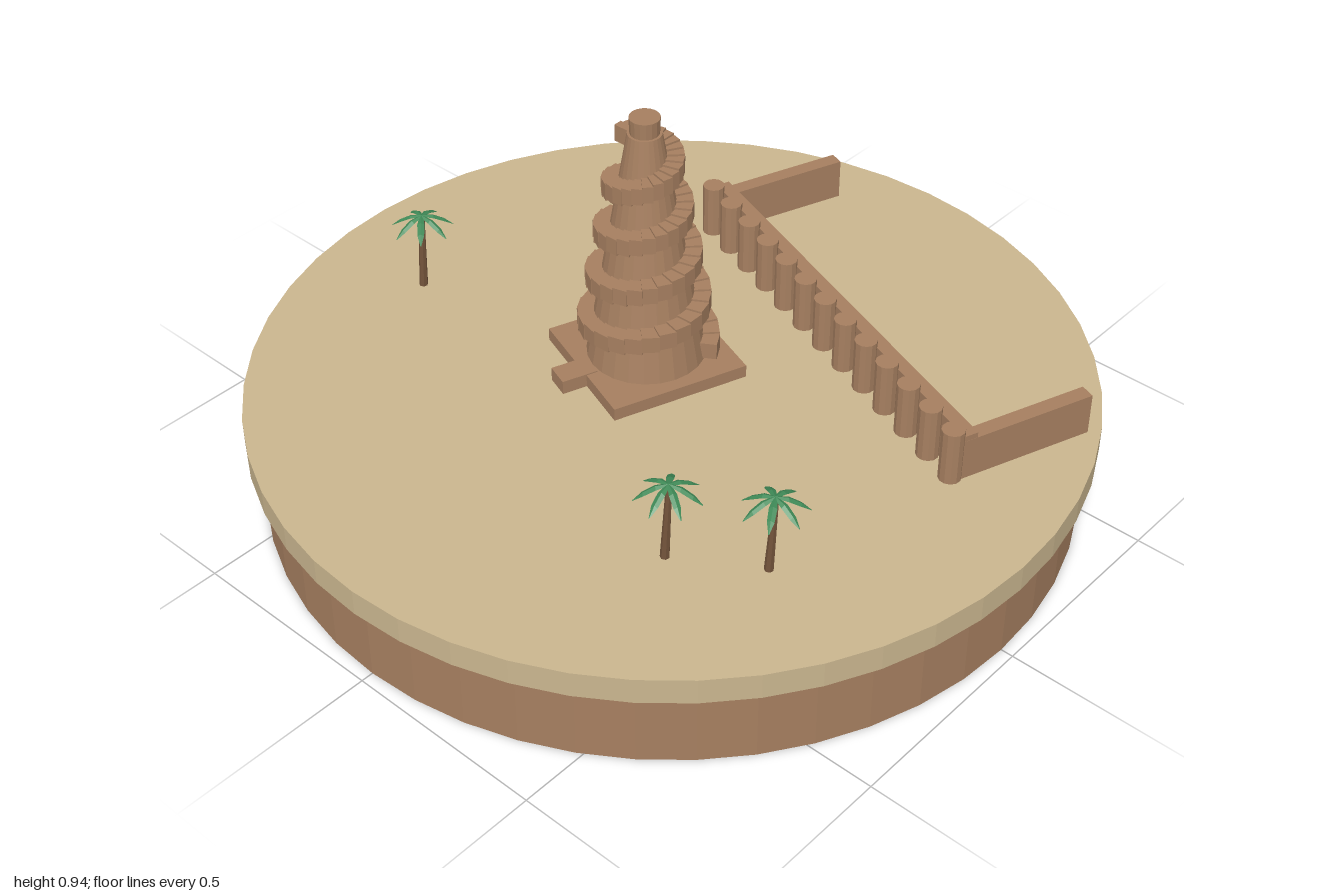
import * as THREE from 'three';

const material = (name, color, extra = {}) => {
  const m = new THREE.MeshStandardMaterial({ color, flatShading: true, ...extra });
  m.name = name;
  return m;
};

// Leaf blade: ridged strip along +x that arches down to a point
function frondGeometry() {
  const sections = [[0, 0.012, 0.004], [0.028, 0.008, 0.009], [0.055, -0.007, 0.008], [0.076, -0.026, 0.001]];
  const pos = [], index = [];
  for (const [x, y, w] of sections) pos.push(x, y - w * 0.5, -w, x, y, 0, x, y - w * 0.5, w);
  for (let i = 0; i < sections.length - 1; i++) {
    for (let j = 0; j < 2; j++) {
      const a = i * 3 + j, b = a + 3;
      index.push(a, a + 1, b, a + 1, b + 1, b);
    }
  }
  const g = new THREE.BufferGeometry();
  g.setAttribute('position', new THREE.Float32BufferAttribute(pos, 3));
  g.setIndex(index);
  g.computeVertexNormals();
  return g;
}

export function createModel() {
  const root = new THREE.Group();
  root.name = 'desertTower';
  const sand = material('sand', 0xcab68f);
  const clay = material('clay', 0xa67f60);
  const bark = material('bark', 0x75553c);
  const leaf = material('leaf', 0x3f8a57, { side: THREE.DoubleSide });

  const add = (parent, name, geometry, mat, x = 0, y = 0, z = 0) => {
    const mesh = new THREE.Mesh(geometry, mat);
    mesh.name = name;
    mesh.position.set(x, y, z);
    parent.add(mesh);
    return mesh;
  };
  const group = (name, x, y, z, turn = 0) => {
    const g = new THREE.Group();
    g.name = name;
    g.position.set(x, y, z);
    g.rotation.y = turn;
    root.add(g);
    return g;
  };
  const box = (w, h, d) => new THREE.BoxGeometry(w, h, d);
  const ground = 0.265, turn = -0.348;

  // Round island
  add(root, 'earthBase', new THREE.CylinderGeometry(0.97, 0.97, 0.2, 48), clay, 0, 0.1, 0);
  add(root, 'sandTop', new THREE.CylinderGeometry(1, 1, 0.065, 48), sand, 0, 0.2325, 0);

  // Tower on a square plinth with an entrance step
  const tower = group('tower', -0.078, ground, 0.004, turn);
  add(tower, 'plinth', box(0.345, 0.032, 0.345), clay, 0, 0.016, 0);
  add(tower, 'entranceStep', box(0.06, 0.035, 0.09), clay, 0, 0.0175, 0.189);
  add(tower, 'towerBody', new THREE.CylinderGeometry(0.04, 0.142, 0.6, 24), clay, 0, 0.33, 0);
  add(tower, 'finial', new THREE.CylinderGeometry(0.036, 0.034, 0.045, 16), clay, 0, 0.648, 0);

  // Spiral ramp of short blocks, narrowing as it climbs
  const ramp = group('spiralRamp', -0.078, 0, 0.004);
  const perTurn = 24, step = (Math.PI * 2) / perTurn;
  for (let t = 0.55; t <= Math.PI * 9 + 0.1; t += step) {
    const y = 0.374 + (0.123 * (t - Math.PI)) / (Math.PI * 2);
    const outer = THREE.MathUtils.mapLinear(y, 0.37, 0.87, 0.164, 0.08);
    const r = outer - 0.023;
    const block = add(ramp, 'rampBlock', box(0.045, 0.042, outer * step * 1.02), clay,
      Math.cos(t) * r, y, -Math.sin(t) * r);
    block.rotation.y = t;
  }

  // Colonnaded wall with two wings running back
  const wall = group('colonnade', 0.2, ground, -0.315, turn);
  add(wall, 'backWall', box(1.12, 0.12, 0.035), clay, 0, 0.06, -0.036);
  for (let i = 0; i < 13; i++) {
    add(wall, 'column', new THREE.CylinderGeometry(0.027, 0.027, 0.137, 12), clay,
      -0.542 + (i * 1.084) / 12, 0.0685, 0);
  }
  for (const side of [-1, 1]) {
    add(wall, side < 0 ? 'rightWing' : 'leftWing', box(0.037, 0.106, 0.345), clay, side * 0.542, 0.053, -0.19);
  }

  // Palm trees: leaning trunk and a crown of seven leaves
  const frond = frondGeometry();
  for (const [x, z, spin] of [[-0.675, 0.155, 0.1], [0.425, 0.483, 0.4], [0.615, 0.365, 0.75]]) {
    const palm = group('palmTree', x, ground, z);
    const trunk = add(palm, 'trunk', new THREE.CylinderGeometry(0.007, 0.011, 0.2, 7), bark, -0.005, 0.1, 0);
    trunk.rotation.z = -0.06;
    for (let i = 0; i < 7; i++) {
      add(palm, 'frond', frond, leaf, 0, 0.199, 0).rotation.y = spin + (i * Math.PI * 2) / 7;
    }
  }
  return root;
}
